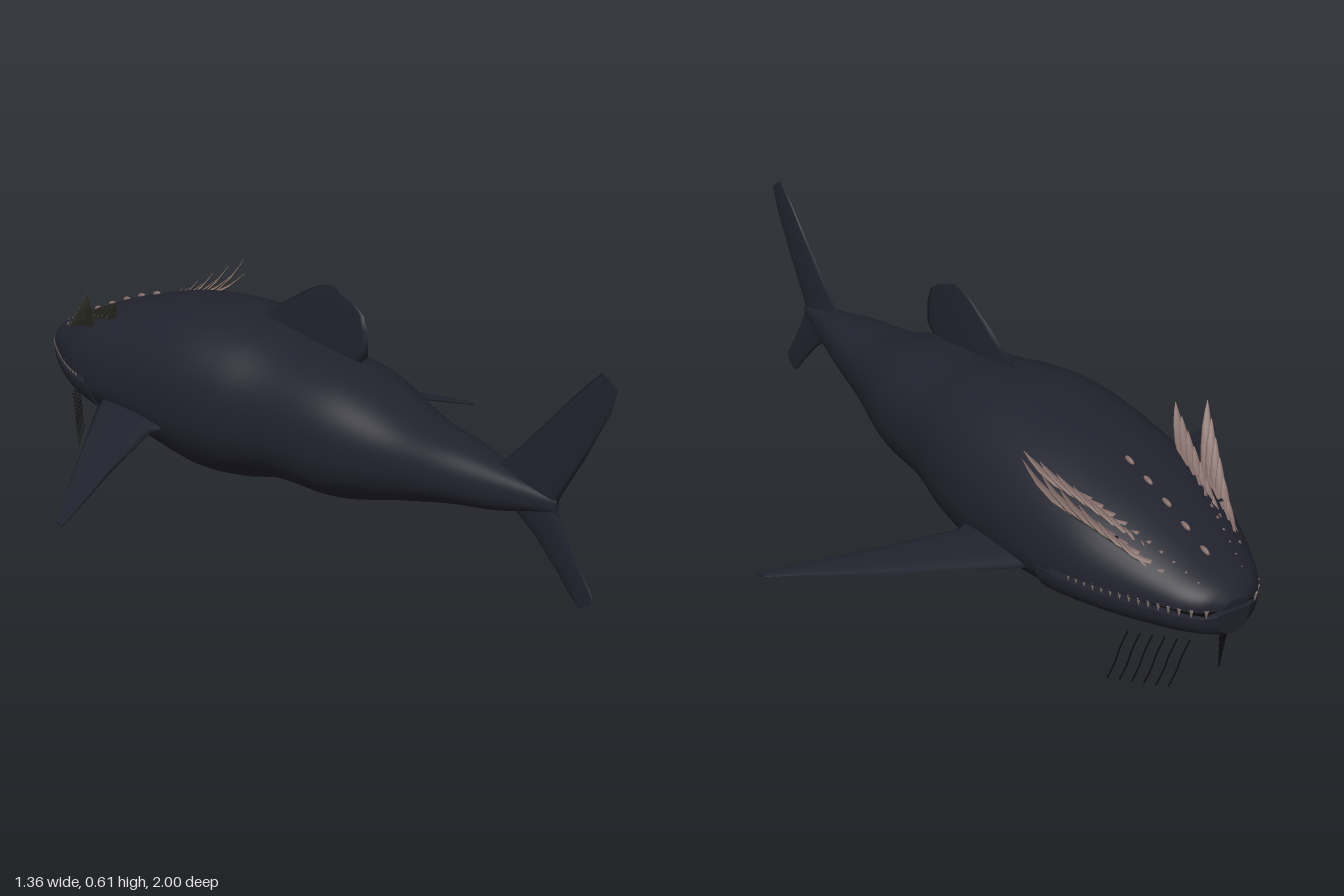
import * as THREE from 'three';

const mat = (name, color) => {
  const m = new THREE.MeshStandardMaterial({ color, side: THREE.DoubleSide });
  m.name = name;
  return m;
};

// Body stations: z, top y, widest y, bottom y, half width
const STATIONS = [
  [-1, 0.268, 0.25, 0.185, 0.03], [-0.985, 0.288, 0.25, 0.178, 0.07], [-0.95, 0.308, 0.25, 0.17, 0.107],
  [-0.9, 0.33, 0.25, 0.16, 0.137], [-0.8, 0.372, 0.25, 0.147, 0.186], [-0.7, 0.41, 0.25, 0.136, 0.223],
  [-0.6, 0.44, 0.25, 0.12, 0.24], [-0.5, 0.465, 0.255, 0.104, 0.245], [-0.4, 0.48, 0.265, 0.082, 0.246],
  [-0.26, 0.49, 0.27, 0.058, 0.243], [-0.13, 0.475, 0.27, 0.07, 0.225], [0, 0.447, 0.27, 0.1, 0.196],
  [0.2, 0.42, 0.27, 0.106, 0.17], [0.4, 0.36, 0.265, 0.155, 0.116], [0.55, 0.34, 0.265, 0.19, 0.085],
  [0.67, 0.317, 0.265, 0.208, 0.052], [0.76, 0.298, 0.265, 0.232, 0.027], [0.84, 0.28, 0.262, 0.248, 0.006],
];
const N = 2.3;

// Smooth interpolation of the stations at any z
function station(z) {
  const S = STATIONS, last = S.length - 1;
  let i = 0;
  while (i < last - 1 && z > S[i + 1][0]) i++;
  const a = S[i], b = S[i + 1], p = S[Math.max(i - 1, 0)], q = S[Math.min(i + 2, last)];
  const h = b[0] - a[0], t = (z - a[0]) / h;
  const [top, mid, bottom, half] = [1, 2, 3, 4].map((k) => {
    const m0 = (b[k] - p[k]) / (b[0] - p[0]) * h, m1 = (q[k] - a[k]) / (q[0] - a[0]) * h;
    return (2 * t ** 3 - 3 * t * t + 1) * a[k] + (t ** 3 - 2 * t * t + t) * m0
      + (3 * t * t - 2 * t ** 3) * b[k] + (t ** 3 - t * t) * m1;
  });
  return { top, mid, bottom, half };
}
const skinY = (x, z) => {
  const s = station(z);
  return s.mid + (s.top - s.mid) * Math.max(0, 1 - (x / s.half) ** N) ** (1 / N);
};
const skinX = (y, z) => {
  const s = station(z);
  return s.half * Math.max(0, 1 - ((y - s.mid) / (s.top - s.mid)) ** N) ** (1 / N);
};

// Skin over closed rings of points, with capped ends
function loft(rings) {
  const n = rings[0].length, pos = [], idx = [];
  rings.forEach((r) => r.forEach((p) => pos.push(p.x, p.y, p.z)));
  for (let i = 0; i < rings.length - 1; i++) {
    for (let j = 0; j < n; j++) {
      const a = i * n + j, b = i * n + (j + 1) % n;
      idx.push(a, b, a + n, b, b + n, a + n);
    }
  }
  [0, rings.length - 1].forEach((i) => {
    const c = pos.length / 3, m = new THREE.Vector3();
    rings[i].forEach((p) => m.addScaledVector(p, 1 / n));
    rings[i].forEach((p) => pos.push(p.x, p.y, p.z));
    pos.push(m.x, m.y, m.z);
    for (let j = 0; j < n; j++) {
      const a = c + j, b = c + (j + 1) % n;
      if (i) idx.push(a, b, c + n); else idx.push(b, a, c + n);
    }
  });
  const g = new THREE.BufferGeometry();
  g.setAttribute('position', new THREE.Float32BufferAttribute(pos, 3));
  g.setIndex(idx);
  g.computeVertexNormals();
  return g;
}

// Loft along z; shape(station) may change each cross-section
function bodyLoft(z0, z1, steps, shape = (s) => s) {
  const rings = [];
  for (let i = 0; i <= steps; i++) {
    const z = z0 + (z1 - z0) * i / steps, s = shape(station(z)), ring = [];
    for (let j = 0; j < 48; j++) {
      const a = j / 48 * Math.PI * 2, c = Math.cos(a), v = Math.sin(a);
      ring.push(new THREE.Vector3(
        s.half * Math.sign(c) * Math.abs(c) ** (2 / N),
        s.mid + (v > 0 ? s.top - s.mid : s.mid - s.bottom) * Math.sign(v) * Math.abs(v) ** (2 / N), z));
    }
    rings.push(ring);
  }
  return loft(rings);
}

// Lens-section blade; each section is [leading point, trailing point, half thickness]
function blade(sections, normal, lower = 1, upper = 1) {
  return loft(sections.map(([a, b, t]) => {
    const ring = [];
    for (let j = 0; j < 12; j++) {
      const ang = j / 12 * Math.PI * 2, v = Math.sin(ang);
      ring.push(new THREE.Vector3().lerpVectors(a, b, 0.5 - 0.5 * Math.cos(ang))
        .addScaledVector(normal, t * v * (v > 0 ? upper : lower)));
    }
    return ring;
  }));
}
const V = (x, y, z) => new THREE.Vector3(x, y, z);

export function createModel() {
  const model = new THREE.Group();
  const skin = mat('darkSkin', 0x22222e), spineTop = mat('spinePink', 0x806a66);
  const spineUnder = mat('spineOlive', 0x45443a), dark = mat('mouthBlack', 0x0e0d12);
  const tooth = mat('toothBeige', 0x8f7f74);
  const add = (name, geometry, material, parent = model) => {
    const m = new THREE.Mesh(geometry, material);
    m.name = name;
    parent.add(m);
    return m;
  };

  // Trunk, split jaws and mouth lining
  add('body', bodyLoft(-0.63, 0.84, 70), skin);
  add('upperHead', bodyLoft(-1, -0.6, 30, (s) => ({ ...s, bottom: s.mid - 0.002 })), skin);
  add('lowerJaw', bodyLoft(-0.995, -0.6, 30, (s) => ({ ...s, mid: 0.234, top: 0.237, half: s.half * 1.01 })), skin);
  add('mouthLining', bodyLoft(-0.98, -0.6, 16, (s) => ({ top: 0.262, mid: 0.245, bottom: 0.225, half: s.half * 0.92 })), dark);

  // Upright fins in the middle plane: [lead z, lead y, trail z, trail y, half thickness]
  const upright = (name, rows) => add(name, blade(
    rows.map(([z0, y0, z1, y1, t]) => [V(0, y0, z0), V(0, y1, z1), t]), V(1, 0, 0)), skin);
  upright('dorsalFin', [
    [-0.17, 0.485, 0.195, 0.44, 0.009], [-0.13, 0.51, 0.217, 0.462, 0.009], [-0.05, 0.555, 0.215, 0.52, 0.007],
    [0.01, 0.588, 0.2, 0.558, 0.005], [0.05, 0.604, 0.165, 0.583, 0.004], [0.085, 0.61, 0.11, 0.604, 0.002]]);
  upright('upperTailFluke', [
    [0.64, 0.295, 0.835, 0.26, 0.012], [0.7, 0.352, 0.855, 0.3, 0.01], [0.8, 0.452, 0.92, 0.405, 0.007],
    [0.9, 0.555, 0.983, 0.52, 0.004], [0.955, 0.605, 1, 0.575, 0.002]]);
  upright('lowerTailFluke', [
    [0.69, 0.235, 0.84, 0.262, 0.012], [0.78, 0.175, 0.87, 0.21, 0.008], [0.85, 0.11, 0.915, 0.142, 0.005],
    [0.895, 0.062, 0.955, 0.085, 0.003], [0.917, 0.046, 0.95, 0.066, 0.002]]);

  for (const s of [1, -1]) {
    const side = new THREE.Group();
    side.name = s > 0 ? 'leftSide' : 'rightSide';
    model.add(side);

    // Pectoral fin
    add('pectoralFin', blade([
      [V(s * 0.19, 0.212, -0.59), V(s * 0.19, 0.205, -0.28), 0.018],
      [V(s * 0.26, 0.2, -0.535), V(s * 0.26, 0.19, -0.305), 0.014],
      [V(s * 0.45, 0.16, -0.35), V(s * 0.45, 0.155, -0.215), 0.009],
      [V(s * 0.6, 0.13, -0.2), V(s * 0.6, 0.125, -0.135), 0.005],
      [V(s * 0.675, 0.112, -0.125), V(s * 0.68, 0.108, -0.095), 0.003]], V(s * 0.2, 0.98, 0)), skin, side);

    // Overlapping crest spines: pink above, olive below
    const spine = (base, tip, width) => {
      const dir = tip.clone().sub(base).normalize();
      const w = V(dir.z * s, 0, -dir.x * s).normalize();
      const n = V(0, 0, 0).crossVectors(w, dir).normalize();
      if (n.y < 0) n.negate();
      const rows = [0, 0.2, 0.45, 0.7, 0.88, 1].map((t) => {
        const c = base.clone().lerp(tip, t).addScaledVector(n, -0.1 * base.distanceTo(tip) * Math.sin(t * Math.PI));
        const h = width * (0.55 + 0.9 * t) * (1 - t ** 2.2) + 0.0008;
        return [c.clone().addScaledVector(w, -h), c.clone().addScaledVector(w, h), 0.008 * (1 - t) + 0.001];
      });
      add('crestSpineTop', blade(rows, n, 0), spineTop, side);
      add('crestSpineUnderside', blade(rows, n, 1, -0.02), spineUnder, side);
    };
    for (let i = 0; i < 10; i++) {
      const t = i / 9, x = 0.06 + 0.075 * t, z = -0.945 + 0.29 * t;
      const b = V(s * x, skinY(x, z) - 0.008, z);
      spine(b, b.clone().add(V(s * (0.02 + 0.06 * t), 0.018 + 0.066 * t, 0.055 + 0.09 * t)), 0.009 + 0.007 * t);
    }
    for (let i = 0; i < 7; i++) {
      const t = i / 6, x = 0.105 + 0.06 * t, z = -0.88 + 0.19 * t;
      const b = V(s * x, skinY(x, z) - 0.008, z);
      spine(b, b.clone().add(V(s * (0.03 + 0.065 * t), 0.025 + 0.105 * t, 0.06 + 0.06 * t)), 0.011 + 0.005 * t);
    }

    // Eye
    const eye = add('eye', new THREE.SphereGeometry(0.009, 16, 10), dark, side);
    eye.position.set(s * skinX(0.35, -0.765), 0.35, -0.765);

    // Teeth along the upper jaw edge
    for (let i = 0; i < 15; i++) {
      const z = -0.985 + i * 0.021;
      const t = add('tooth', new THREE.ConeGeometry(0.006, 0.022, 5), tooth, side);
      t.position.set(s * station(z).half * 0.97, 0.243, z);
      t.rotation.x = Math.PI;
    }

    // Hanging chin barbels
    for (let i = 0; i < 6; i++) {
      const x = 0.055 + 0.018 * i, z = -0.92 + 0.021 * i;
      const path = new THREE.CatmullRomCurve3([
        V(s * x, 0.14, z), V(s * (x + 0.006), 0.09, z + 0.018),
        V(s * (x + 0.01), 0.045, z + 0.03), V(s * (x + 0.017), 0.001, z + 0.045)]);
      add('barbel', new THREE.TubeGeometry(path, 10, 0.0018, 5), dark, side);
    }
  }

  // Small bumps down the middle of the head
  for (let i = 0; i < 5; i++) {
    const z = -0.89 + i * 0.068;
    const b = add('crownBump', new THREE.SphereGeometry(1, 12, 8), spineTop);
    b.scale.set(0.006, 0.007, 0.016);
    b.position.set(0, station(z).top + 0.001, z);
    b.rotation.x = -0.25;
  }
  return model;
}
